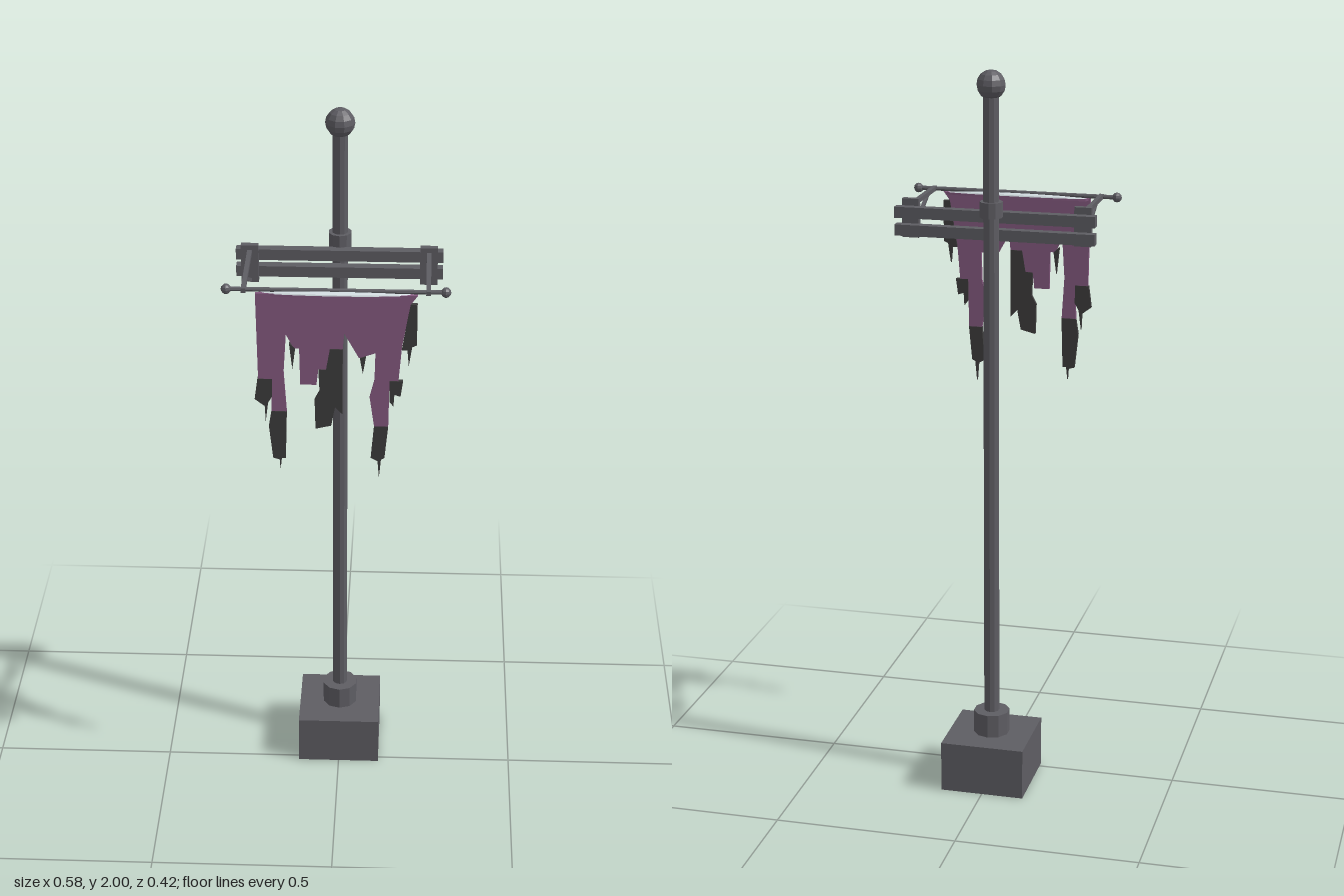
import * as THREE from 'three';

const material = (name, color, side = THREE.FrontSide) => {
  const m = new THREE.MeshStandardMaterial({ color, side });
  m.name = name;
  m.flatShading = true;
  return m;
};

export function createModel() {
  const group = new THREE.Group();
  group.name = 'tatteredBannerPole';
  const metal = material('dark metal', 0x5e5d63);
  const cloth = material('purple cloth', 0x855a80);
  const charred = material('charred cloth', 0x3d3c3c);
  const lining = material('pale lining', 0xd3dde1);

  const add = (name, geometry, mat, x = 0, y = 0, z = 0) => {
    const mesh = new THREE.Mesh(geometry, mat);
    mesh.name = name;
    mesh.position.set(x, y, z);
    group.add(mesh);
    return mesh;
  };
  const box = (name, w, h, d, x, y, z) => add(name, new THREE.BoxGeometry(w, h, d), metal, x, y, z);

  // Base, pole, collars and top ball
  const poleZ = -0.097;
  const drum = (name, r, y0, y1) =>
    add(name, new THREE.CylinderGeometry(r, r, y1 - y0, 10), metal, 0, (y0 + y1) / 2, poleZ);
  box('base', 0.232, 0.142, 0.232, 0, 0.071, poleZ);
  drum('baseCollar', 0.05, 0.142, 0.207);
  drum('pole', 0.021, 0.2, 1.94);
  drum('upperCollar', 0.031, 1.613, 1.655);
  add('topBall', new THREE.SphereGeometry(0.039, 10, 8), metal, 0, 1.961, poleZ);

  // Two crossbars against the pole
  for (const y of [1.607, 1.559]) box('crossbar', 0.545, 0.03, 0.026, 0, y, -0.06);

  // Mirrored plates, arms, braces and rod ends
  const rodY = 1.622, rodZ = 0.189;
  for (const s of [-1, 1]) {
    box('armPlate', 0.046, 0.105, 0.017, s * 0.235, 1.588, -0.04);
    box('arm', 0.012, 0.012, 0.235, s * 0.235, rodY, 0.081);
    const brace = box('brace', 0.009, 0.009, 0.175, s * 0.235, 1.579, 0.043);
    brace.rotation.x = -Math.atan2(0.078, 0.155);
    add('rodBall', new THREE.SphereGeometry(0.0135, 8, 6), metal, s * 0.279, rodY, rodZ);
  }
  const rod = add('bannerRod', new THREE.CylinderGeometry(0.006, 0.006, 0.555, 8), metal, 0, rodY, rodZ);
  rod.rotation.z = Math.PI / 2;

  // Bulging sleeve around the rod: pale top over a purple hem
  const top = add('sleeveTop',
    new THREE.SphereGeometry(1, 24, 4, 0, Math.PI * 2, 0, Math.PI / 2), lining, 0, 1.614, rodZ);
  top.scale.set(0.195, 0.008, 0.0175);
  const hem = add('sleeveHem', new THREE.CylinderGeometry(1, 1, 1, 24), cloth, 0, 1.611, rodZ);
  hem.scale.set(0.2, 0.006, 0.0175);

  // Ragged cloth sheets cut from outlines
  const sheet = (name, mat, points, z = 0.1895, depth = 0.009) => {
    const shape = new THREE.Shape(points.map(([x, y]) => new THREE.Vector2(x, y)));
    return add(name, new THREE.ExtrudeGeometry(shape, { depth, bevelEnabled: false }), mat, 0, 0, z);
  };
  sheet('bannerCloth', cloth, [
    [-0.205, 1.615], [-0.201, 1.37], [-0.165, 1.37], [-0.168, 1.275], [-0.128, 1.275],
    [-0.135, 1.39], [-0.128, 1.5], [-0.108, 1.46], [-0.094, 1.46], [-0.092, 1.355], [-0.05, 1.355],
    [-0.045, 1.4], [-0.025, 1.4], [-0.015, 1.46], [0.018, 1.46], [0.022, 1.505],
    [0.06, 1.435], [0.102, 1.45], [0.1, 1.37], [0.088, 1.32], [0.1, 1.235],
    [0.137, 1.235], [0.139, 1.37], [0.162, 1.37], [0.17, 1.47], [0.19, 1.59], [0.208, 1.615],
  ]);

  // Burnt ends of each strip
  const ends = [
    [[-0.203, 1.37], [-0.211, 1.31], [-0.185, 1.29], [-0.183, 1.245], [-0.176, 1.3], [-0.165, 1.32], [-0.165, 1.37]],
    [[-0.168, 1.275], [-0.175, 1.23], [-0.165, 1.135], [-0.148, 1.13], [-0.146, 1.1], [-0.142, 1.135],
      [-0.132, 1.135], [-0.128, 1.275]],
    [[-0.12, 1.475], [-0.112, 1.4], [-0.104, 1.46]],
    [[-0.015, 1.46], [-0.025, 1.4], [-0.045, 1.4], [-0.042, 1.335], [-0.055, 1.31], [-0.053, 1.225],
      [-0.012, 1.235], [-0.002, 1.29], [0.017, 1.27], [0.018, 1.46]],
    [[0.062, 1.435], [0.07, 1.39], [0.078, 1.44]],
    [[0.1, 1.235], [0.092, 1.14], [0.11, 1.13], [0.114, 1.08], [0.119, 1.135], [0.128, 1.14], [0.137, 1.235]],
    [[0.139, 1.37], [0.139, 1.31], [0.15, 1.295], [0.152, 1.33], [0.168, 1.325], [0.174, 1.37]],
    [[0.19, 1.59], [0.17, 1.46], [0.184, 1.46], [0.188, 1.415], [0.196, 1.47], [0.208, 1.475], [0.208, 1.59]],
  ];
  for (const end of ends) sheet('burntEnd', charred, end, 0.188, 0.0115);

  return group;
}
